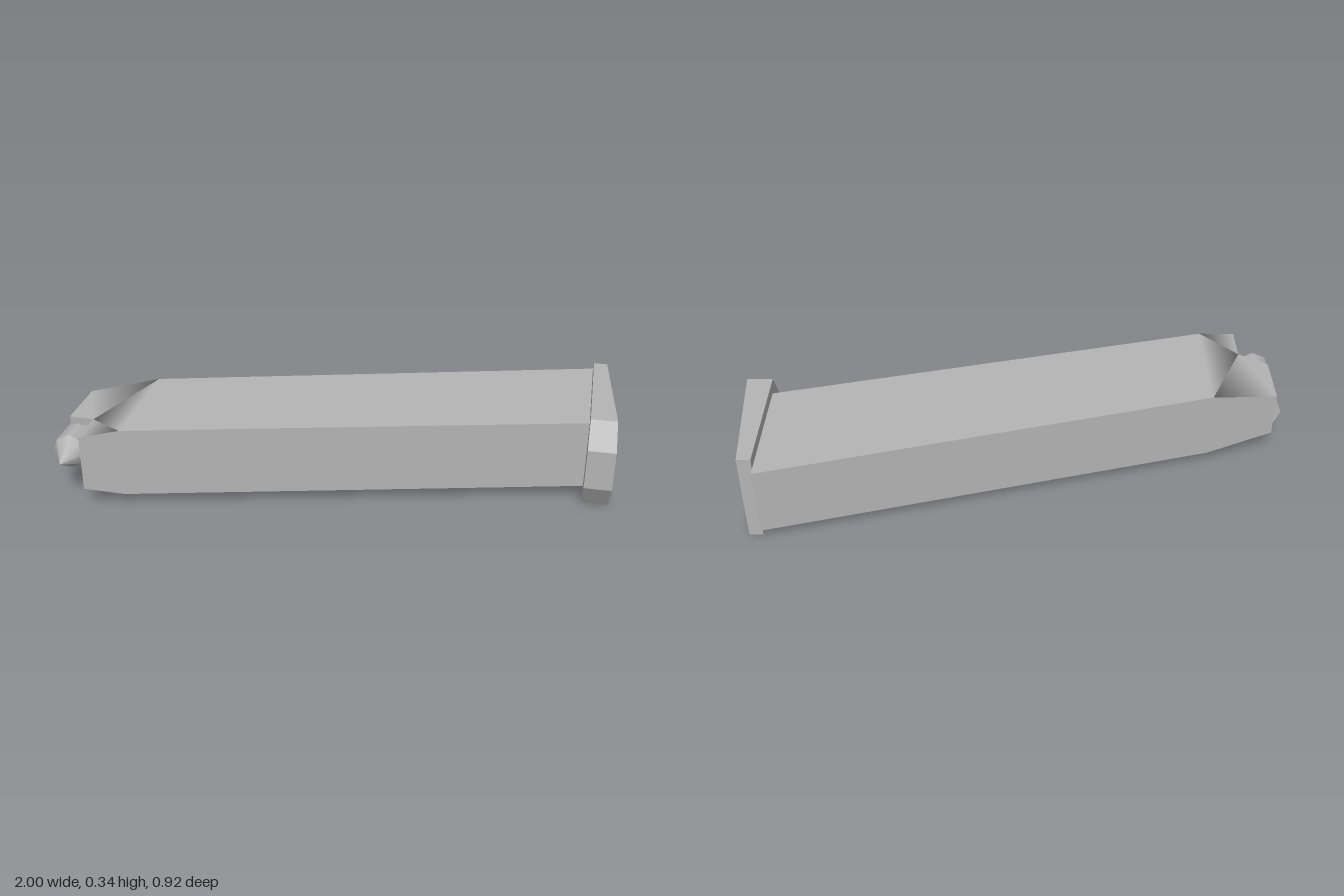
import * as THREE from 'three';
import { mergeVertices } from 'three/addons/utils/BufferGeometryUtils.js';

const MID = 0.175; // height of the long axis
const X_END = 0.9, X_TAPER = -0.72, X_FRONT = -0.86, X_TIP = -0.97;

// Slanted sides and tapering half height of the casing
const zBack = (x) => -0.46 - (x - X_END) * 0.2674;
const zFront = (x) => -(x - X_END) * 0.2455;
const half = (x) => (x > X_TAPER ? 0.13 : 0.13 + (x - X_TAPER) * 0.18);

export function createModel() {
  const grey = new THREE.MeshStandardMaterial({ color: 0xb4b4b4, side: THREE.DoubleSide });
  grey.name = 'satin grey';
  const group = new THREE.Group();
  group.name = 'taperedCase';

  const add = (name, geometry) => {
    const mesh = new THREE.Mesh(geometry, grey);
    mesh.name = name;
    group.add(mesh);
    return mesh;
  };

  // Sheet made of polygons, each fanned from its first corner
  const sheet = (name, polygons, smooth = false) => {
    const pos = [];
    for (const p of polygons)
      for (let i = 1; i < p.length - 1; i++) pos.push(...p[0], ...p[i], ...p[i + 1]);
    let geometry = new THREE.BufferGeometry();
    geometry.setAttribute('position', new THREE.Float32BufferAttribute(pos, 3));
    if (smooth) geometry = mergeVertices(geometry);
    geometry.computeVertexNormals();
    return add(name, geometry);
  };

  // Outline of the notched mouth, starting at its inner corner
  const mouth = [
    [X_FRONT, 0.29], [X_TIP, 0.25], [X_TIP, zBack(X_TIP)],
    [X_TAPER, zBack(X_TAPER)], [X_TAPER, zFront(X_TAPER)], [X_FRONT, zFront(X_FRONT)],
  ];
  const lift = (side, inset = 0) => ([x, z]) => [x, MID + side * (half(x) - inset), z];

  // Top runs the full length; the underside is open behind the taper
  const up = lift(1);
  const longTop = [
    [X_TAPER, zBack(X_TAPER)], [X_TAPER, zFront(X_TAPER)],
    [X_END, zFront(X_END)], [X_END, zBack(X_END)],
  ];
  sheet('topPanel', [mouth.map(up), longTop.map(up).reverse()].map((p, i) => (i ? p.reverse() : p)), true);
  sheet('lowerMouthPanel', [mouth.map(lift(-1))]);

  // Inner faces and rims give the two mouth lips their thickness
  for (const side of [1, -1]) {
    const outer = lift(side), inner = lift(side, 0.03);
    const name = side > 0 ? 'upperLip' : 'lowerLip';
    sheet(name + 'Inside', [mouth.map(inner)]);
    const edge = [mouth[5], mouth[0], mouth[1], mouth[2]];
    sheet(name + 'Rim', edge.slice(1).map((b, i) =>
      [outer(edge[i]), outer(b), inner(b), inner(edge[i])]));
  }

  // Side walls follow the tapering height
  const wall = (name, xs, zAt) => sheet(name, [[
    ...xs.map((x) => [x, MID + half(x), zAt(x)]),
    ...[...xs].reverse().map((x) => [x, MID - half(x), zAt(x)]),
  ]]);
  wall('backWall', [X_END, X_TAPER, X_TIP], zBack);
  wall('frontWall', [X_END, X_TAPER, X_FRONT], zFront);

  // Cross walls: inner block behind the mouth and the closed end
  const crossWall = (name, x) => sheet(name, [[
    [x, MID - half(x), zBack(x)], [x, MID + half(x), zBack(x)],
    [x, MID + half(x), zFront(x)], [x, MID - half(x), zFront(x)],
  ]]);
  crossWall('innerBlock', X_TAPER);
  crossWall('endWall', X_END);

  // End plate: chamfered outline, thicker towards the front
  const outline = new THREE.Shape([
    [-0.43, 0], [0.04, 0], [0.1, 0.095], [0.1, 0.247], [0.04, 0.342], [-0.43, 0.342],
  ].map(([z, y]) => new THREE.Vector2(-z, y)));
  const plate = new THREE.ExtrudeGeometry(outline, { depth: 1, bevelEnabled: false });
  plate.rotateY(Math.PI / 2);
  const p = plate.attributes.position;
  for (let i = 0; i < p.count; i++) {
    const thickness = 0.05 + (p.getZ(i) + 0.43) * 0.094;
    p.setX(i, X_END + 0.001 + p.getX(i) * thickness);
  }
  plate.computeVertexNormals();
  add('endPlate', plate);

  // Pointed pin held in the mouth
  const r = 0.066;
  const pin = new THREE.CylinderGeometry(r, r, 0.295, 8);
  pin.rotateX(Math.PI / 2);
  add('pinBody', pin).position.set(-0.932, MID, 0.2075);
  const point = new THREE.ConeGeometry(r, 0.1, 8, 1, true);
  point.rotateX(Math.PI / 2);
  add('pinPoint', point).position.set(-0.932, MID, 0.405);

  return group;
}
